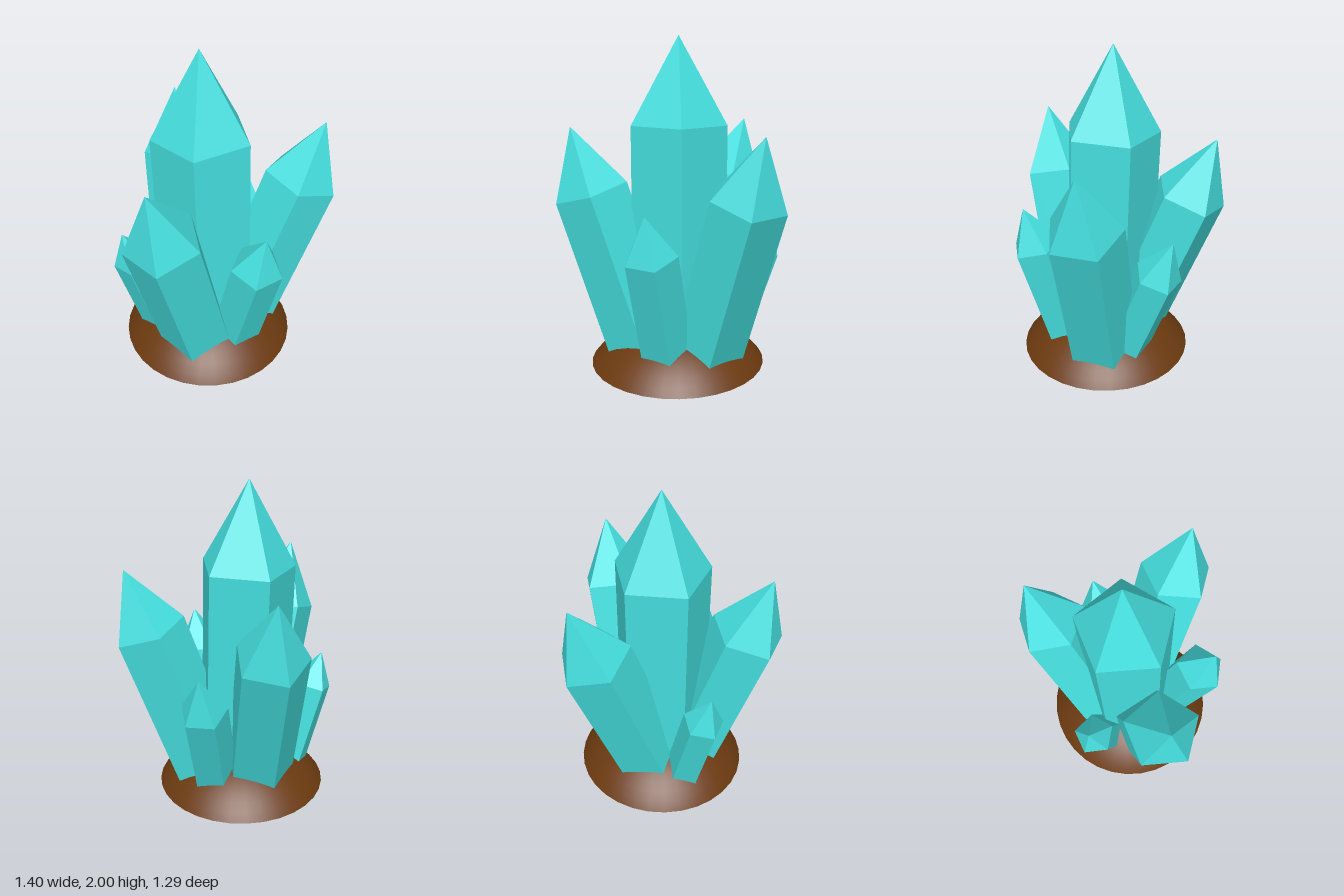
import * as THREE from 'three';

const crystalMaterial = new THREE.MeshStandardMaterial({ color: 0x45dede, flatShading: true });
const rockMaterial = new THREE.MeshStandardMaterial({ color: 0x6b3a10 });

// Five-sided crystal: shoulder = centre of the ring under the tip, tip = apex,
// corner = horizontal [x, z] heading of one ring corner
function createCrystal(name, shoulder, tip, radius, corner) {
  const s = new THREE.Vector3(...shoulder);
  const axis = new THREE.Vector3(...tip).sub(s);
  const tipHeight = axis.length();
  axis.normalize();

  // Local frame with y along the axis and z towards the chosen corner
  const side = new THREE.Vector3().crossVectors(axis, new THREE.Vector3(corner[0], 0, corner[1])).normalize();
  const out = new THREE.Vector3().crossVectors(side, axis);
  const frame = new THREE.Matrix4().makeBasis(side, axis, out).setPosition(s);

  const profile = [[0, -1], [radius, -1], [radius, 0], [0, tipHeight]].map(p => new THREE.Vector2(...p));
  const lathe = new THREE.LatheGeometry(profile, 5);

  // Slide the foot along the axis so that it ends level inside the rock
  const pos = lathe.attributes.position;
  const v = new THREE.Vector3();
  for (let i = 0; i < pos.count; i++) {
    v.fromBufferAttribute(pos, i);
    const isFoot = v.y < -0.5;
    v.applyMatrix4(frame);
    if (isFoot) v.addScaledVector(axis, (0.03 - v.y) / axis.y);
    pos.setXYZ(i, v.x, v.y, v.z);
  }
  const geometry = lathe.toNonIndexed();
  geometry.computeVertexNormals();
  const mesh = new THREE.Mesh(geometry, crystalMaterial);
  mesh.name = name;
  return mesh;
}

// Shallow spherical mound with a flat underside
function createRockBase(radius, height) {
  const rock = new THREE.Group();
  rock.name = 'rockBase';
  const sphereRadius = (radius * radius + height * height) / (2 * height);
  const dome = new THREE.Mesh(
    new THREE.SphereGeometry(sphereRadius, 32, 10, 0, Math.PI * 2, 0, Math.asin(radius / sphereRadius)),
    rockMaterial);
  dome.name = 'rockDome';
  dome.position.y = height - sphereRadius;
  const underside = new THREE.Mesh(new THREE.CircleGeometry(radius, 32), rockMaterial);
  underside.name = 'rockUnderside';
  underside.rotation.x = Math.PI / 2;
  rock.add(dome, underside);
  rock.position.set(-0.065, 0, 0.08);
  return rock;
}

export function createModel() {
  const model = new THREE.Group();
  model.name = 'crystalCluster';
  model.add(
    createRockBase(0.54, 0.27),
    createCrystal('mainCrystal', [-0.078, 1.482, 0.038], [-0.085, 2, 0.022], 0.298, [0, -1]),
    createCrystal('backCrystal', [0, 1.085, -0.438], [0.042, 1.46, -0.575], 0.226, [0.01, -0.21]),
    createCrystal('leftCrystal', [0.489, 1.115, 0.225], [0.61, 1.49, 0.265], 0.228, [0.211, -0.055]),
    createCrystal('rightCrystal', [-0.488, 1.09, 0.361], [-0.595, 1.475, 0.414], 0.23, [-0.219, -0.061]),
    createCrystal('smallFrontCrystal', [0.033, 0.8, 0.505], [0.043, 1.05, 0.575], 0.159, [-0.1, -1]),
    createCrystal('smallBackLeftCrystal', [0.323, 0.715, -0.21], [0.383, 0.965, -0.285], 0.148, [0.132, -0.05]),
    createCrystal('smallBackRightCrystal', [-0.513, 0.655, -0.05], [-0.572, 0.865, -0.06], 0.127, [-0.965, -0.26]),
  );
  return model;
}
